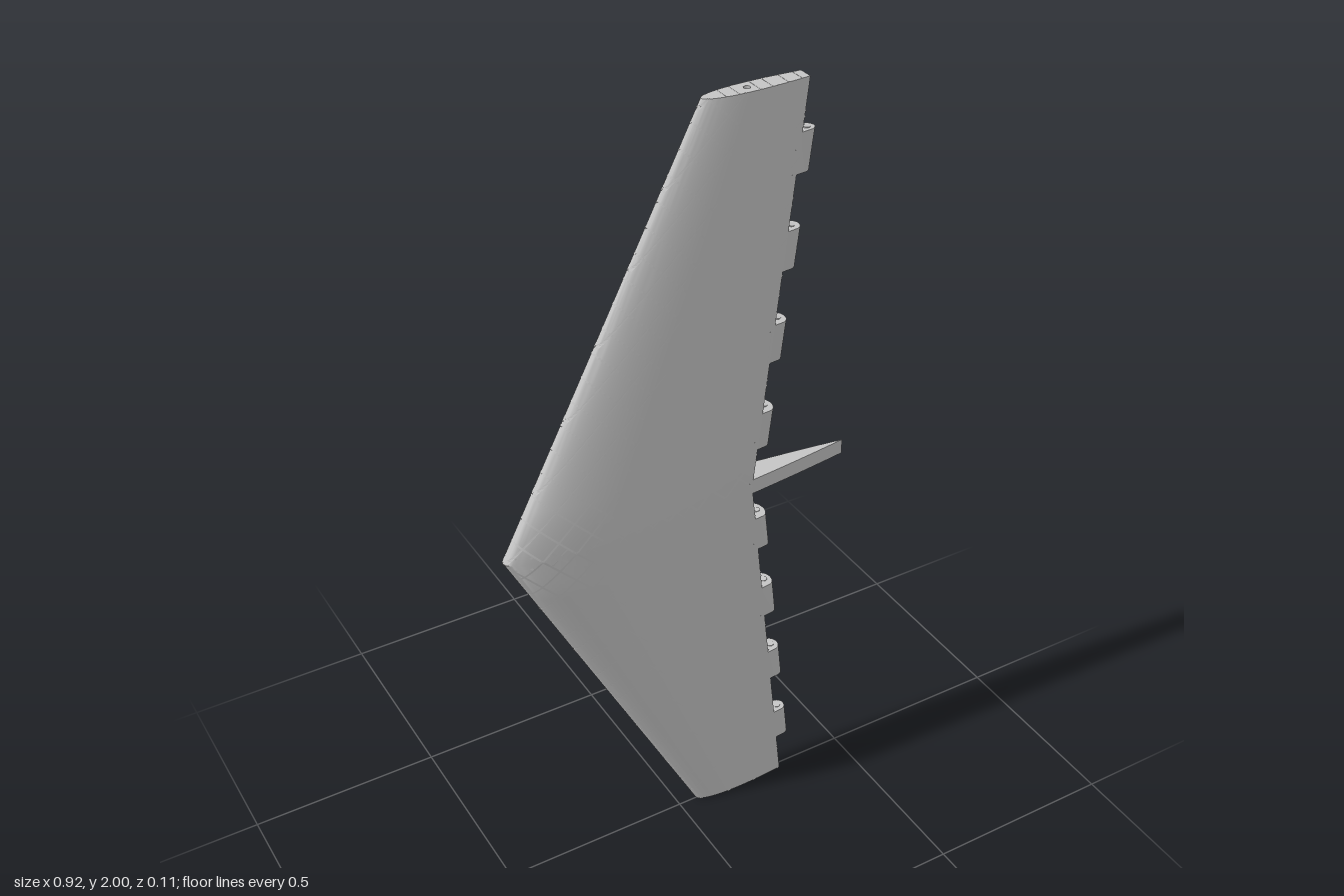
import * as THREE from 'three';
import { toCreasedNormals } from 'three/addons/utils/BufferGeometryUtils.js';

const TAIL = 0.46;
const span = (y) => Math.abs(y - 1);
const lead = (y) => -0.46 + 0.51 * span(y); // swept leading edge
const hinge = (y) => 0.18 + 0.125 * span(y); // cut-off trailing edge

// Half thickness of the symmetric aerofoil at x on the section at height y
function half(x, y) {
  const c = TAIL - lead(y);
  const t = Math.min(1, Math.max(0, (x - lead(y)) / c));
  return 0.6 * c * (0.2969 * Math.sqrt(t) - 0.126 * t - 0.3516 * t * t + 0.2843 * t ** 3 - 0.1036 * t ** 4);
}

// Mirror a list of [x, z] points running back to front into a closed ring
function ring(upper) {
  const lower = upper.filter((p) => p[1] > 1e-5).map(([x, z]) => [x, -z]).reverse();
  return [...upper, ...lower];
}

// Closed loft through rings at rising heights, with an optional bore in the caps
function loft(ys, ringAt, hole = []) {
  const pos = [];
  const rings = ys.map((y) => ringAt(y).map(([x, z]) => [x, y, z]));
  const n = rings[0].length;
  for (let k = 0; k < rings.length - 1; k++) {
    for (let i = 0; i < n; i++) {
      const j = (i + 1) % n;
      const a = rings[k][i], b = rings[k][j], c = rings[k + 1][j], d = rings[k + 1][i];
      pos.push(...a, ...c, ...b, ...a, ...d, ...c);
    }
  }
  [[0, -1], [rings.length - 1, 1]].forEach(([k, up]) => {
    const outline = rings[k].map((p) => new THREE.Vector2(p[0], p[2]));
    const holes = hole.length ? [hole.map(([x, z]) => new THREE.Vector2(x, z))] : [];
    const all = [...outline, ...holes.flat()];
    for (const f of THREE.ShapeUtils.triangulateShape(outline, holes)) {
      const [a, b, c] = f.map((i) => all[i]);
      const turn = (b.x - a.x) * (c.y - a.y) - (b.y - a.y) * (c.x - a.x);
      const tri = turn * up < 0 ? [a, b, c] : [a, c, b];
      tri.forEach((p) => pos.push(p.x, ys[k], p.y));
    }
  });
  const g = new THREE.BufferGeometry();
  g.setAttribute('position', new THREE.Float32BufferAttribute(pos, 3));
  return toCreasedNormals(g, 0.6);
}

export function createModel() {
  const model = new THREE.Group();
  const grey = new THREE.MeshStandardMaterial({ color: 0xc4c4c4, side: THREE.DoubleSide });
  grey.name = 'lightGrey';
  const add = (name, geometry) => {
    const mesh = new THREE.Mesh(geometry, grey);
    mesh.name = name;
    model.add(mesh);
    return mesh;
  };

  // Wing body: two swept halves with a spar bore running through
  const N = 28, BORE_X = 0.16, BORE_R = 0.008;
  const boreRing = Array.from({ length: 8 }, (_, i) => {
    const a = (i / 8) * Math.PI * 2;
    return [BORE_X + BORE_R * Math.sin(a), BORE_R * Math.cos(a)];
  });
  const stations = Array.from({ length: 17 }, (_, i) => i / 8);
  add('wingBody', loft(stations, (y) => ring(Array.from({ length: N + 1 }, (_, i) => {
    const x = lead(y) + (hinge(y) - lead(y)) * (1 - i / N) ** 2;
    return [x, half(x, y)];
  })), boreRing));
  add('sparBore', new THREE.CylinderGeometry(BORE_R, BORE_R, 2, 8, 1, true)).position.set(BORE_X, 1, 0);

  // Full-chord centre rib running back to the tail
  add('centreRib', loft([0.98, 1.02], () => ring(Array.from({ length: 11 }, (_, i) => {
    const x = TAIL - (TAIL - 0.172) * (i / 10);
    return [x, half(x, 1) * (i === 0 ? 0 : 1)];
  }))));

  // Rounded hinge knuckles along the trailing edge, with pins
  const knuckle = (y) => {
    const xc = hinge(y) + 0.022, h = half(xc, y), x0 = hinge(y) - 0.012;
    const arc = Array.from({ length: 7 }, (_, i) => {
      const a = (i / 6) * Math.PI / 2;
      return [xc + 0.02 * Math.cos(a), h * Math.sin(a)];
    });
    return ring([...arc, [x0, half(x0, y)]]);
  };
  for (const side of [1, -1]) {
    for (let i = 0; i < 4; i++) {
      const mid = 1 + side * (0.15 + i * 0.2267);
      add('hingeKnuckle', loft([mid - 0.048, mid + 0.048], knuckle));
      const pin = add('hingePin', new THREE.CylinderGeometry(0.009, 0.009, 0.1, 12));
      pin.position.set(hinge(mid) + 0.022, mid, 0);
      pin.rotation.z = -side * Math.atan(0.125);
    }
  }

  // Diagonal lattice seams: thin ribbons lying on both faces
  const seam = [];
  const W = 0.0024;
  function ribbon(points, slope) {
    const len = Math.hypot(1, slope), ox = W / len, oy = -W * slope / len;
    for (const face of [1, -1]) {
      const edge = (p, s) => {
        const x = p[0] + s * ox, y = p[1] + s * oy;
        return [x, y, face * (half(x, y) + 0.0012)];
      };
      for (let i = 0; i < points.length - 1; i++) {
        const a = edge(points[i], -face), b = edge(points[i], face);
        const c = edge(points[i + 1], face), d = edge(points[i + 1], -face);
        seam.push(...a, ...b, ...c, ...a, ...c, ...d);
      }
    }
  }
  const STEP = 0.08;
  for (const side of [1, -1]) {
    for (const k of [1, -1]) {
      for (let c = -1.02; c < 1.4; c += STEP) {
        // Span range where the line x = c + k * s lies on the wing
        const s0 = Math.max(0, k > 0 ? -(c + 0.46) / 0.49 : (c - 0.18) / 1.125);
        const s1 = Math.min(1, k > 0 ? (0.18 - c) / 0.875 : (c + 0.46) / 1.51);
        if (s1 - s0 < 0.01) continue;
        const points = Array.from({ length: 25 }, (_, i) => {
          const t = i / 24, e = k > 0 ? t * t : 1 - (1 - t) ** 2;
          const s = s0 + (s1 - s0) * e;
          return [c + k * s, 1 + side * s];
        });
        if (side < 0) points.reverse();
        ribbon(points, k * side);
      }
    }
  }
  // Small crosses along the whole centre rib
  for (let x = -0.42; x < 0.43; x += STEP) {
    for (const k of [1, -1]) ribbon([[x - k * 0.018, 0.982], [x + k * 0.018, 1.018]], k);
  }
  const seams = new THREE.BufferGeometry();
  seams.setAttribute('position', new THREE.Float32BufferAttribute(seam, 3));
  seams.computeVertexNormals();
  add('latticeSeams', seams);

  // Seams across the flat wing tips
  for (const y of [0, 2]) {
    for (const x of [0.1, 0.13, 0.18, 0.21, 0.25, 0.285]) {
      add('tipSeam', new THREE.BoxGeometry(0.003, 0.001, 2 * half(x, y))).position.set(x, y, 0);
    }
  }
  return model;
}
